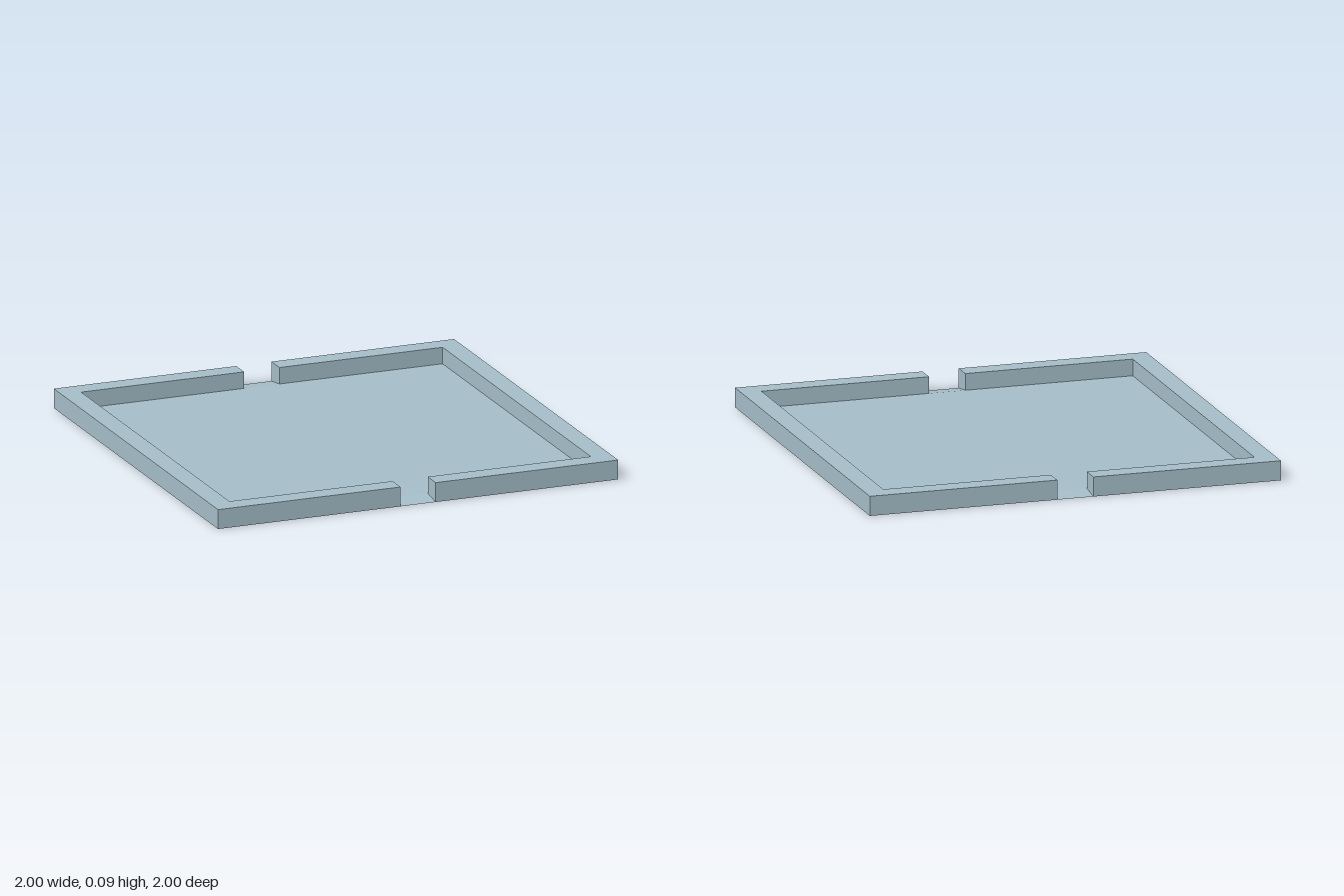
import * as THREE from 'three';

const OUT = 1, IN = 0.903, GAP = 0.088, TOP = 0.094, FLOOR = 0.014;

const material = new THREE.MeshStandardMaterial({
  color: 0xa6bfc9, flatShading: true, side: THREE.DoubleSide,
});

// Sheet made of four-cornered faces, corners counter-clockwise
function quads(name, faces) {
  const pos = [];
  for (const [a, b, c, d] of faces) pos.push(...a, ...b, ...c, ...a, ...c, ...d);
  const geo = new THREE.BufferGeometry();
  geo.setAttribute('position', new THREE.Float32BufferAttribute(pos, 3));
  geo.computeVertexNormals();
  const mesh = new THREE.Mesh(geo, material);
  mesh.name = name;
  return mesh;
}

// One C-shaped half of the rim, hollow and open underneath
function makeRimHalf(name) {
  const half = new THREE.Group();
  half.name = name;
  const outline = [
    [GAP, -OUT], [OUT, -OUT], [OUT, OUT], [GAP, OUT],
    [GAP, IN], [IN, IN], [IN, -IN], [GAP, -IN],
  ].map(([x, y]) => new THREE.Vector2(x, y));

  const topGeo = new THREE.ShapeGeometry(new THREE.Shape(outline));
  topGeo.rotateX(-Math.PI / 2).translate(0, TOP, 0);
  const top = new THREE.Mesh(topGeo, material);
  top.name = 'rimTop';

  // Outer sides reach the ground, inner sides stop at the floor
  const base = (i) => (i < 4 ? 0 : FLOOR);
  const sides = outline.map((a, i) => {
    const j = (i + 1) % outline.length, b = outline[j];
    return [[a.x, base(i), -a.y], [b.x, base(j), -b.y], [b.x, TOP, -b.y], [a.x, TOP, -a.y]];
  });
  half.add(top, quads('rimSides', sides));
  return half;
}

// Shallow slope in a gateway, from the floor down to the ground
function makeRamp(name) {
  return quads(name, [
    [[-GAP, 0, OUT], [GAP, 0, OUT], [GAP, FLOOR, IN], [-GAP, FLOOR, IN]],
  ]);
}

export function createModel() {
  const model = new THREE.Group();
  model.name = 'walledTray';

  const floor = quads('floor', [
    [[-IN, FLOOR, IN], [IN, FLOOR, IN], [IN, FLOOR, -IN], [-IN, FLOOR, -IN]],
  ]);
  const leftRim = makeRimHalf('leftRim');
  const rightRim = makeRimHalf('rightRim');
  const frontRamp = makeRamp('frontRamp');
  const backRamp = makeRamp('backRamp');
  rightRim.rotation.y = backRamp.rotation.y = Math.PI;

  model.add(floor, leftRim, rightRim, frontRamp, backRamp);
  return model;
}
